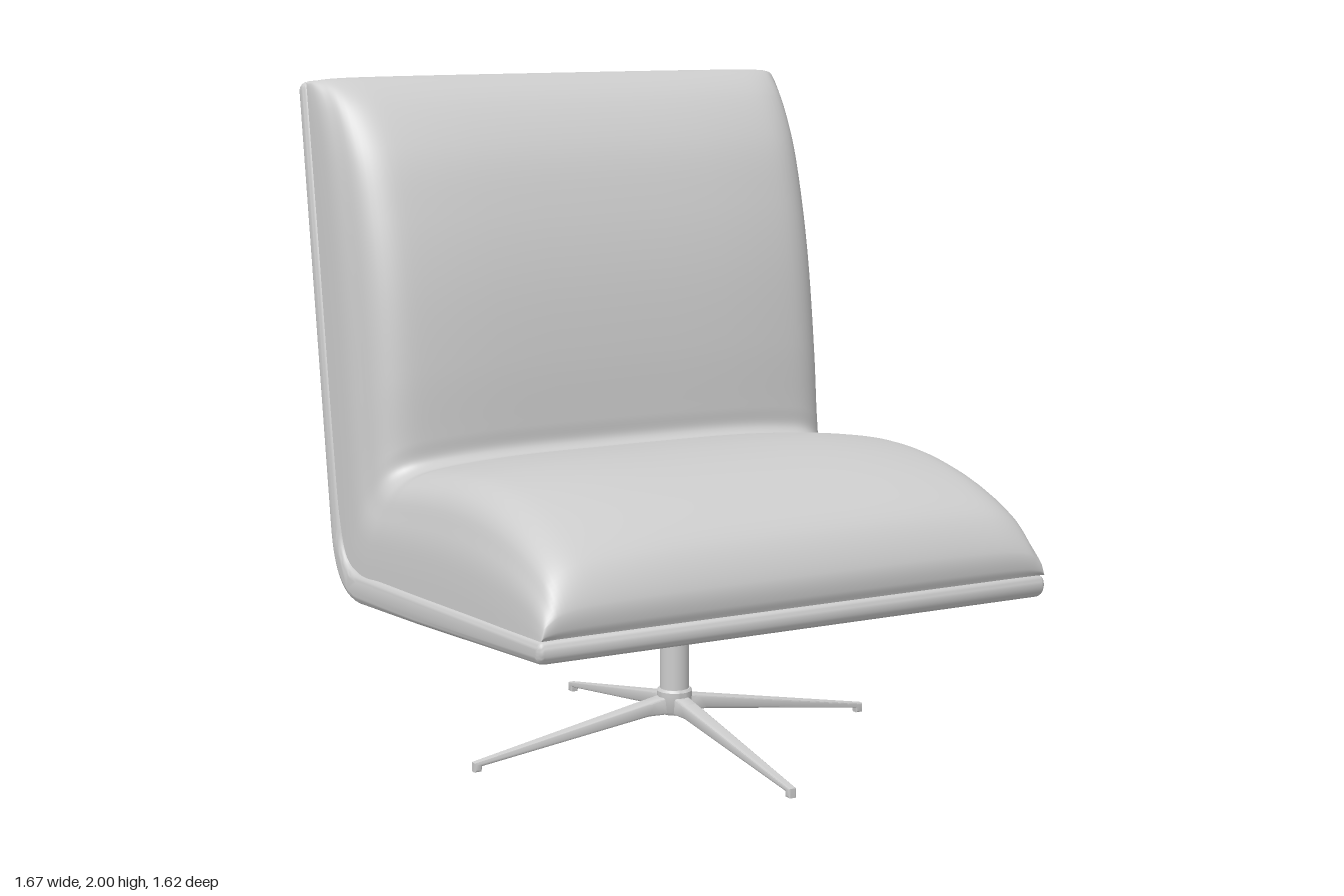
import * as THREE from 'three';
import { toCreasedNormals } from 'three/addons/utils/BufferGeometryUtils.js';

const curve = (pts) => new THREE.CatmullRomCurve3(pts.map(([a, b]) => new THREE.Vector3(a, b, 0)));

// Cushion outline at mid-width, as [z, y], from the seat front to the top of the back
const CROWN = curve([
  [0.80, 0.57], [0.81, 0.60], [0.808, 0.66], [0.745, 0.77], [0.6, 0.855], [0.4, 0.91], [0.2, 0.925],
  [0, 0.91], [-0.2, 0.88], [-0.26, 0.87], [-0.283, 0.89], [-0.286, 0.95], [-0.297, 1.15], [-0.33, 1.4],
  [-0.38, 1.6], [-0.45, 1.78], [-0.55, 1.92], [-0.63, 1.98], [-0.69, 2.0], [-0.755, 1.992],
]);
// Matching points on the seam with the shell
const SEAM = curve([
  [0.80, 0.568], [0.805, 0.569], [0.80, 0.569], [0.73, 0.566], [0.6, 0.56], [0.4, 0.552], [0.2, 0.543],
  [0, 0.534], [-0.25, 0.524], [-0.4, 0.517], [-0.5, 0.55], [-0.55, 0.65], [-0.595, 0.9], [-0.652, 1.3],
  [-0.687, 1.55], [-0.718, 1.76], [-0.737, 1.89], [-0.746, 1.95], [-0.75, 1.975], [-0.753, 1.985],
]);
// How far the padding rises across the width, as [x, rise]
const RISE = curve([
  [0.828, 0], [0.824, 0.2], [0.816, 0.4], [0.8, 0.56], [0.765, 0.78], [0.7, 0.9], [0.6, 0.95],
  [0.4, 0.99], [0, 1],
]);

// Surface lofted from seam to crown, mirrored about x = 0
function cushionGeometry() {
  const along = 152, half = 32, across = half * 2;
  const pos = [], idx = [];
  for (let i = 0; i <= along; i++) {
    const top = CROWN.getPoint(i / along), low = SEAM.getPoint(i / along);
    for (let j = 0; j <= across; j++) {
      const r = RISE.getPoint(1 - Math.abs(j - half) / half);
      const p = low.clone().lerp(top, Math.min(Math.max(r.y, 0), 1));
      pos.push(Math.sign(j - half) * r.x, p.y, p.x);
      if (i < along && j < across) {
        const a = i * (across + 1) + j, b = a + across + 1;
        idx.push(a, a + 1, b, a + 1, b + 1, b);
      }
    }
  }
  const g = new THREE.BufferGeometry();
  g.setAttribute('position', new THREE.Float32BufferAttribute(pos, 3));
  g.setIndex(idx);
  g.computeVertexNormals();
  return g;
}

// Bent shell: side outline extruded across the width with rounded rims
function shellGeometry() {
  const s = new THREE.Shape();
  s.moveTo(0.79, 0.568);
  s.lineTo(-0.42, 0.514);
  s.bezierCurveTo(-0.5, 0.51, -0.545, 0.55, -0.555, 0.63);
  s.lineTo(-0.75, 1.965);
  s.bezierCurveTo(-0.755, 1.993, -0.81, 1.993, -0.809, 1.955);
  s.lineTo(-0.625, 0.62);
  s.bezierCurveTo(-0.605, 0.49, -0.54, 0.42, -0.42, 0.421);
  s.lineTo(0, 0.446);
  s.lineTo(0.78, 0.501);
  s.bezierCurveTo(0.818, 0.504, 0.818, 0.566, 0.79, 0.568);
  const bevel = 0.024, depth = 1.67 - 2 * bevel;
  const g = new THREE.ExtrudeGeometry(s, {
    depth, bevelEnabled: true, bevelThickness: bevel, bevelSize: bevel, bevelOffset: -bevel,
    bevelSegments: 5, curveSegments: 12,
  });
  g.translate(0, 0, -depth / 2);
  g.rotateY(-Math.PI / 2);
  return toCreasedNormals(g, 0.7);
}

// Tapered leg pointing along +x, with its foot at the tip
function legGeometry() {
  const s = new THREE.Shape();
  s.moveTo(0.02, 0.09);
  s.lineTo(0.1, 0.092);
  s.lineTo(0.655, 0.016);
  s.lineTo(0.657, 0);
  s.lineTo(0.68, 0);
  s.lineTo(0.68, 0.028);
  s.lineTo(0.1, 0.135);
  s.quadraticCurveTo(0.06, 0.142, 0.02, 0.15);
  const g = new THREE.ExtrudeGeometry(s, {
    depth: 0.03, bevelEnabled: true, bevelThickness: 0.01, bevelSize: 0.006, bevelOffset: -0.006,
    bevelSegments: 3,
  });
  g.translate(0, 0, -0.015);
  const p = g.attributes.position;
  for (let i = 0; i < p.count; i++) p.setZ(i, p.getZ(i) * (1.05 - 0.8 * p.getX(i)));
  return toCreasedNormals(g, 0.7);
}

export function createModel() {
  const chair = new THREE.Group();
  chair.name = 'loungeChair';
  const grey = new THREE.MeshStandardMaterial({ color: 0xcccccc });
  grey.name = 'light grey';
  const add = (parent, name, geometry) => {
    const mesh = new THREE.Mesh(geometry, grey);
    mesh.name = name;
    parent.add(mesh);
    return mesh;
  };

  add(chair, 'cushion', cushionGeometry());
  add(chair, 'shell', shellGeometry());

  // Pedestal with four legs
  const base = new THREE.Group();
  base.name = 'swivelBase';
  base.position.z = 0.065;
  chair.add(base);
  add(base, 'column', new THREE.CylinderGeometry(0.044, 0.044, 0.27, 40)).position.y = 0.295;
  const hub = [[0, 0.088], [0.04, 0.088], [0.048, 0.1], [0.054, 0.15], [0.054, 0.16], [0.048, 0.167], [0, 0.167]];
  add(base, 'hub', toCreasedNormals(
    new THREE.LatheGeometry(hub.map(([r, y]) => new THREE.Vector2(r, y)), 40), 0.6));
  const leg = legGeometry();
  for (let i = 0; i < 4; i++) add(base, 'leg' + (i + 1), leg).rotation.y = i * Math.PI / 2;
  return chair;
}
